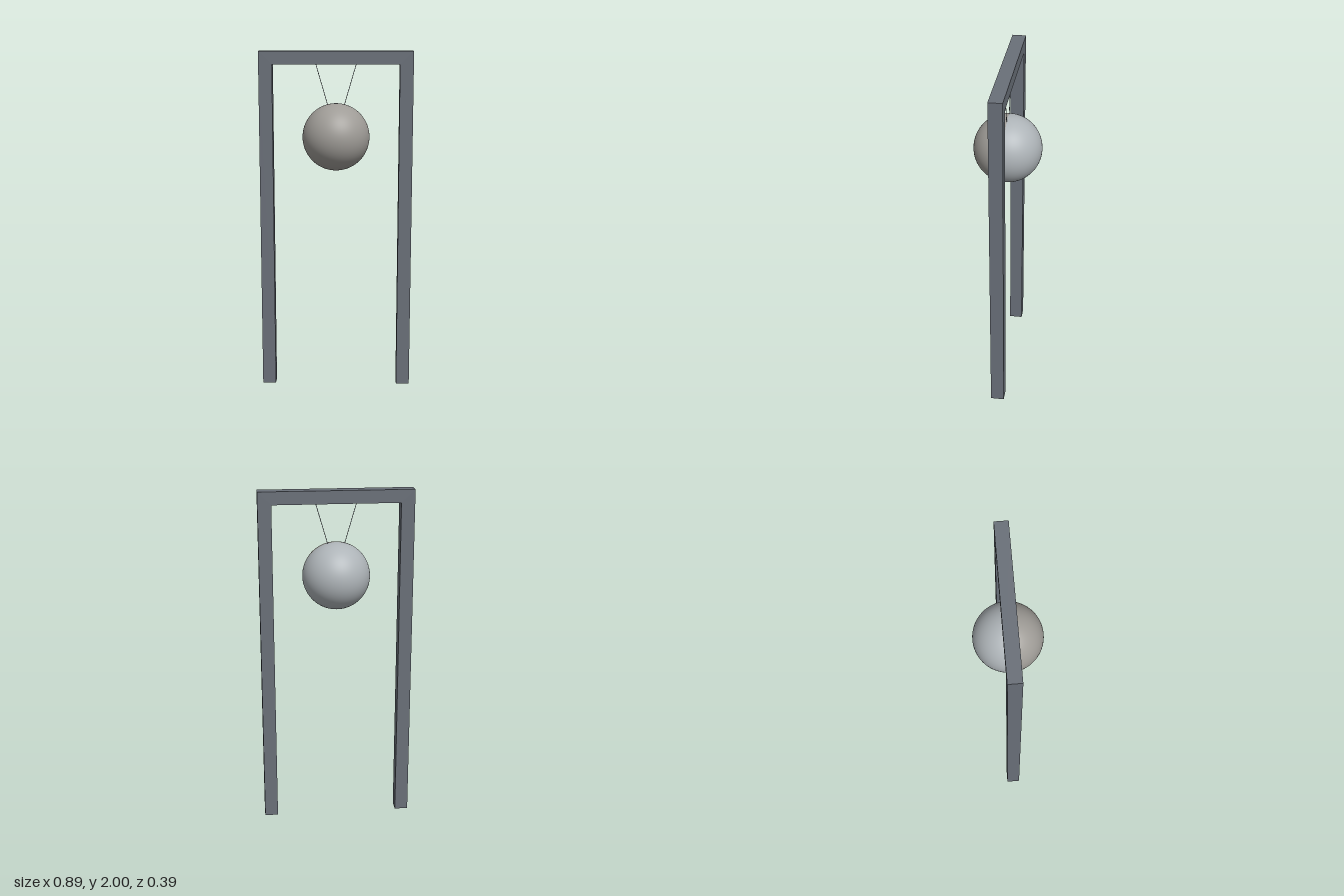
import * as THREE from 'three';

const material = (color) => new THREE.MeshStandardMaterial({ color });

export function createModel() {
  const model = new THREE.Group();
  model.name = 'hangingBall';

  const add = (name, geometry, mat) => {
    const mesh = new THREE.Mesh(geometry, mat);
    mesh.name = name;
    model.add(mesh);
    return mesh;
  };

  // Gate-shaped frame: two square posts joined by a top beam
  const outer = 0.444, inner = 0.366, top = 2, under = 1.925, depth = 0.078;
  const outline = new THREE.Shape([
    [-outer, 0], [-inner, 0], [-inner, under], [inner, under],
    [inner, 0], [outer, 0], [outer, top], [-outer, top],
  ].map(([x, y]) => new THREE.Vector2(x, y)));
  const frame = new THREE.ExtrudeGeometry(outline, { depth, bevelEnabled: false });
  frame.translate(0, 0, -depth / 2);
  add('frame', frame, material(0x6a7079));

  // Ball in two halves: warm grey in front, cool grey behind
  const radius = 0.195, ballY = 1.505;
  const halves = [['ballFront', 0, 0x9f9c97], ['ballBack', Math.PI, 0xaeb4b8]];
  for (const [name, phiStart, color] of halves) {
    const half = new THREE.SphereGeometry(radius, 32, 40, phiStart, Math.PI);
    add(name, half, material(color)).position.y = ballY;
  }

  // Thin strings running from the beam down to the ball
  const stringMaterial = material(0x6a7079);
  for (const [name, side] of [['leftString', 1], ['rightString', -1]]) {
    const path = new THREE.LineCurve3(
      new THREE.Vector3(side * 0.118, under + 0.005, 0),
      new THREE.Vector3(side * 0.048, ballY + radius - 0.01, 0),
    );
    add(name, new THREE.TubeGeometry(path, 1, 0.0018, 8), stringMaterial);
  }

  return model;
}
